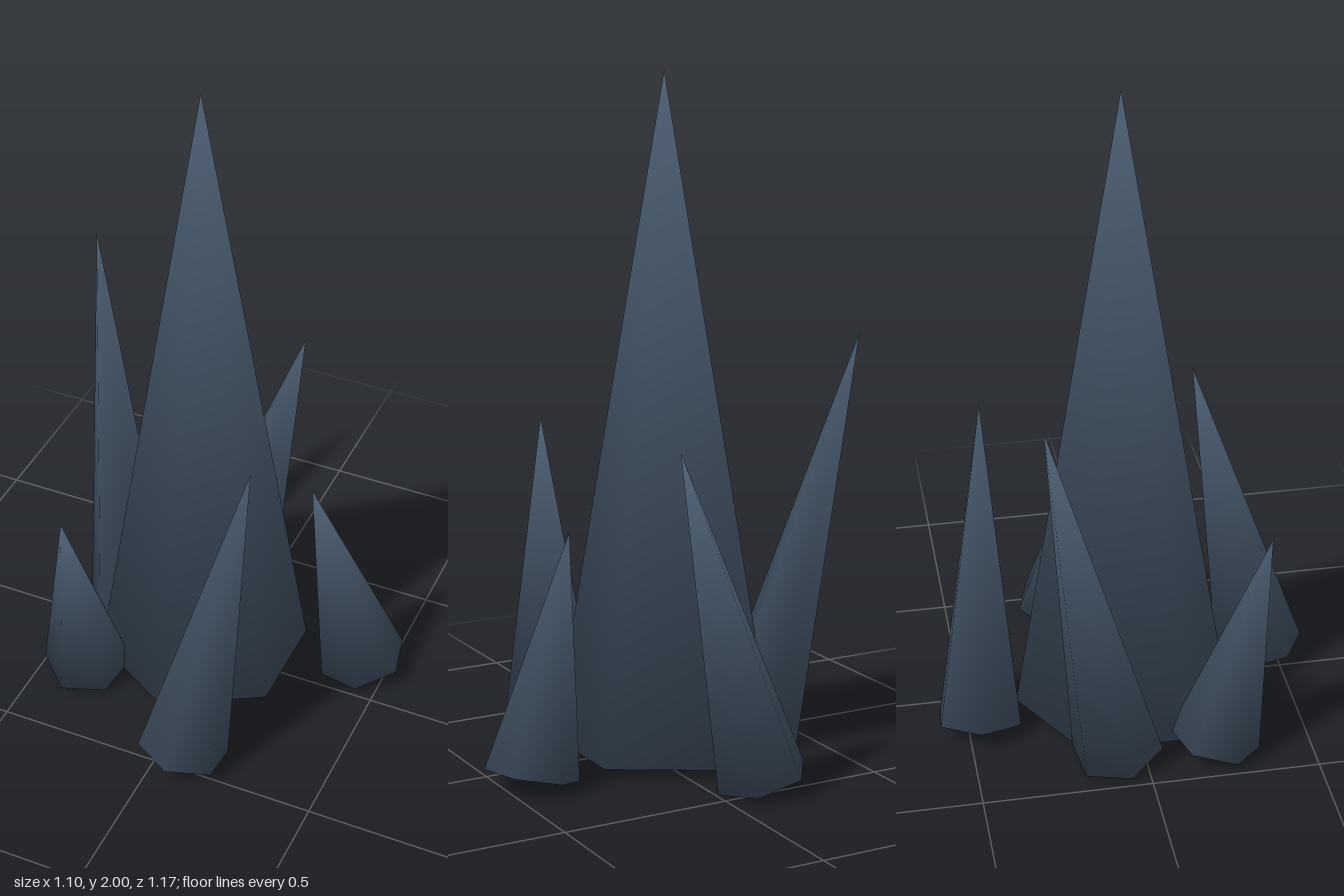
import * as THREE from 'three';

const SIDES = 6;
const UP = new THREE.Vector3(0, 1, 0);

// Closed six-sided spike with welded corners: its shading flows softly over edges and base.
function spikeGeometry(radius, height, turn) {
  const positions = [0, height, 0];
  const normals = [0, 1, 0];
  const index = [];
  const baseDrop = 0.7; // downward lean of the rim normals
  for (let i = 0; i < SIDES; i++) {
    const a = THREE.MathUtils.degToRad(turn) + (i / SIDES) * Math.PI * 2;
    positions.push(Math.cos(a) * radius, 0, Math.sin(a) * radius);
    const n = new THREE.Vector3(Math.cos(a), -baseDrop, Math.sin(a)).normalize();
    normals.push(n.x, n.y, n.z);
    index.push(1 + i, 0, 1 + ((i + 1) % SIDES)); // side
    if (i > 0 && i < SIDES - 1) index.push(1, 1 + i, 2 + i); // base
  }
  const geometry = new THREE.BufferGeometry();
  geometry.setAttribute('position', new THREE.Float32BufferAttribute(positions, 3));
  geometry.setAttribute('normal', new THREE.Float32BufferAttribute(normals, 3));
  geometry.setIndex(index);
  return geometry;
}

// Spike standing on the base centre and leaning to the tip
function spike(name, material, { base, tip, radius, turn }) {
  const foot = new THREE.Vector3(...base);
  const axis = new THREE.Vector3(...tip).sub(foot);
  const mesh = new THREE.Mesh(spikeGeometry(radius, axis.length(), turn), material);
  mesh.name = name;
  mesh.position.copy(foot);
  mesh.quaternion.setFromUnitVectors(UP, axis.normalize());
  return mesh;
}

export function createModel() {
  const group = new THREE.Group();
  group.name = 'crystalCluster';

  const stone = new THREE.MeshStandardMaterial({ color: 0x4a5c70 });
  stone.name = 'slateBlue';

  const spikes = {
    mainSpike: { base: [-0.07, 0.03, -0.018], tip: [-0.07, 2, -0.018], radius: 0.325, turn: 30 },
    rightSpike: { base: [-0.352, 0.035, -0.08], tip: [-0.55, 1.255, -0.31], radius: 0.138, turn: -8 },
    backSpike: { base: [-0.14, 0.035, -0.462], tip: [0.094, 0.985, -0.408], radius: 0.138, turn: 5 },
    leftSpike: { base: [0.419, 0.035, -0.135], tip: [0.262, 0.71, -0.066], radius: 0.138, turn: 18.5 },
    frontSpike: { base: [0.071, 0.035, 0.446], tip: [0.197, 0.985, 0.247], radius: 0.138, turn: 30 },
    frontRightSpike: { base: [-0.363, 0.035, 0.213], tip: [-0.346, 0.71, 0.374], radius: 0.137, turn: -18 },
  };
  for (const [name, spec] of Object.entries(spikes)) group.add(spike(name, stone, spec));

  return group;
}
